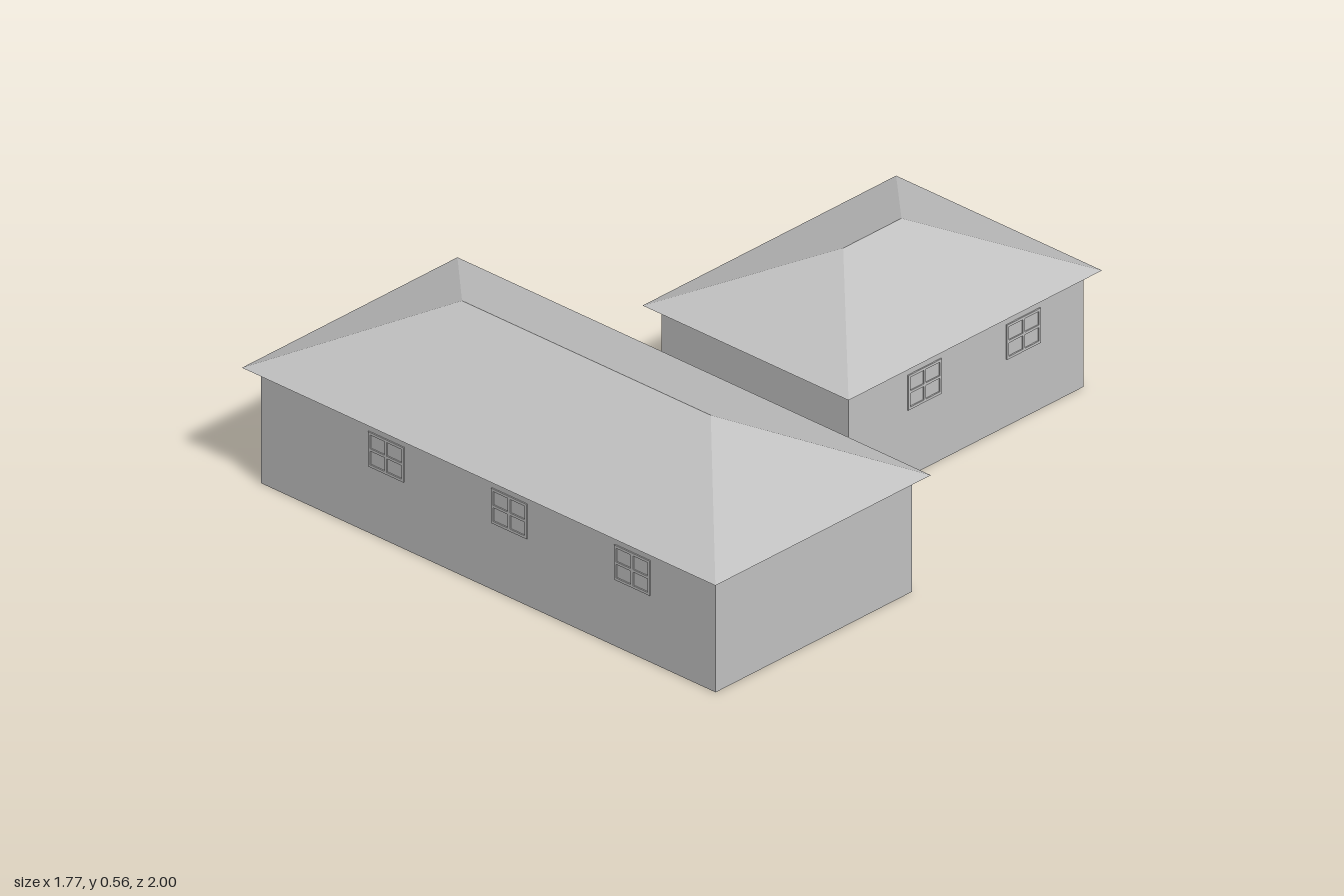
import * as THREE from 'three';

const EAVES = 0.36, FLOOR = 0.115;
const grey = new THREE.MeshStandardMaterial({ color: 0xc0c0c0, side: THREE.DoubleSide });
grey.name = 'plain grey';

function part(parent, name, geometry, x = 0, y = 0, z = 0) {
  const mesh = new THREE.Mesh(geometry, grey);
  mesh.name = name;
  mesh.position.set(x, y, z);
  parent.add(mesh);
  return mesh;
}

// Closed hip roof with its ridge along x, standing on y = 0
function hipRoof(hx, hz, ridge, height) {
  const corners = [[-hx, 0, -hz], [hx, 0, -hz], [hx, 0, hz], [-hx, 0, hz], [-ridge, height, 0], [ridge, height, 0]];
  const faces = [3, 2, 5, 3, 5, 4, 1, 0, 4, 1, 4, 5, 2, 1, 5, 0, 3, 4, 0, 1, 2, 0, 2, 3];
  const geometry = new THREE.BufferGeometry();
  geometry.setAttribute('position', new THREE.Float32BufferAttribute(faces.flatMap(i => corners[i]), 3));
  geometry.computeVertexNormals();
  return geometry;
}

// Thin window frame with a crossbar and a mullion
function windowFrame() {
  const frame = new THREE.Group();
  frame.name = 'window';
  const w = 0.125, h = 0.1, bar = 0.008, depth = 0.006;
  for (const y of [-h / 2, 0, h / 2]) part(frame, 'windowRail', new THREE.BoxGeometry(w, bar, depth), 0, y);
  for (const x of [-w / 2, 0, w / 2]) part(frame, 'windowStile', new THREE.BoxGeometry(bar, h + bar, depth), x);
  return frame;
}

function house({ name, wall, roof, ridge, height, front, back }) {
  const group = new THREE.Group();
  group.name = name;

  // Four walls, open above and below
  const shell = new THREE.BoxGeometry(wall[0] * 2, EAVES, wall[1] * 2);
  shell.groups = shell.groups.filter(g => g.materialIndex !== 2 && g.materialIndex !== 3);
  part(group, 'walls', shell, 0, EAVES / 2).material = Array(6).fill(grey);

  // Raised floor inside the walls
  const floor = new THREE.PlaneGeometry(wall[0] * 2, wall[1] * 2).rotateX(-Math.PI / 2);
  part(group, 'floor', floor, 0, FLOOR);

  part(group, 'roof', hipRoof(roof[0], roof[1], ridge, height), 0, EAVES);

  // Windows along the two long walls
  for (const [side, list] of [[1, front], [-1, back]]) {
    for (const x of list) {
      const frame = windowFrame();
      frame.position.set(x, 0.262, side * (wall[1] + 0.001));
      group.add(frame);
    }
  }
  return group;
}

export function createModel() {
  const model = new THREE.Group();
  model.name = 'houses';

  const main = house({
    name: 'mainHouse', wall: [0.85, 0.387], roof: [0.885, 0.425], ridge: 0.465, height: 0.197,
    front: [-0.38, 0.08, 0.54], back: [-0.62, -0.31, 0, 0.31, 0.62],
  });
  main.position.z = 0.575;

  // The smaller house is turned so that its ridge runs front to back
  const small = house({
    name: 'smallHouse', wall: [0.463, 0.35], roof: [0.5, 0.385], ridge: 0.115, height: 0.17,
    front: [-0.165, 0.225], back: [],
  });
  small.rotation.y = Math.PI / 2;
  small.position.set(0.05, 0, -0.5);

  model.add(main, small);
  return model;
}
